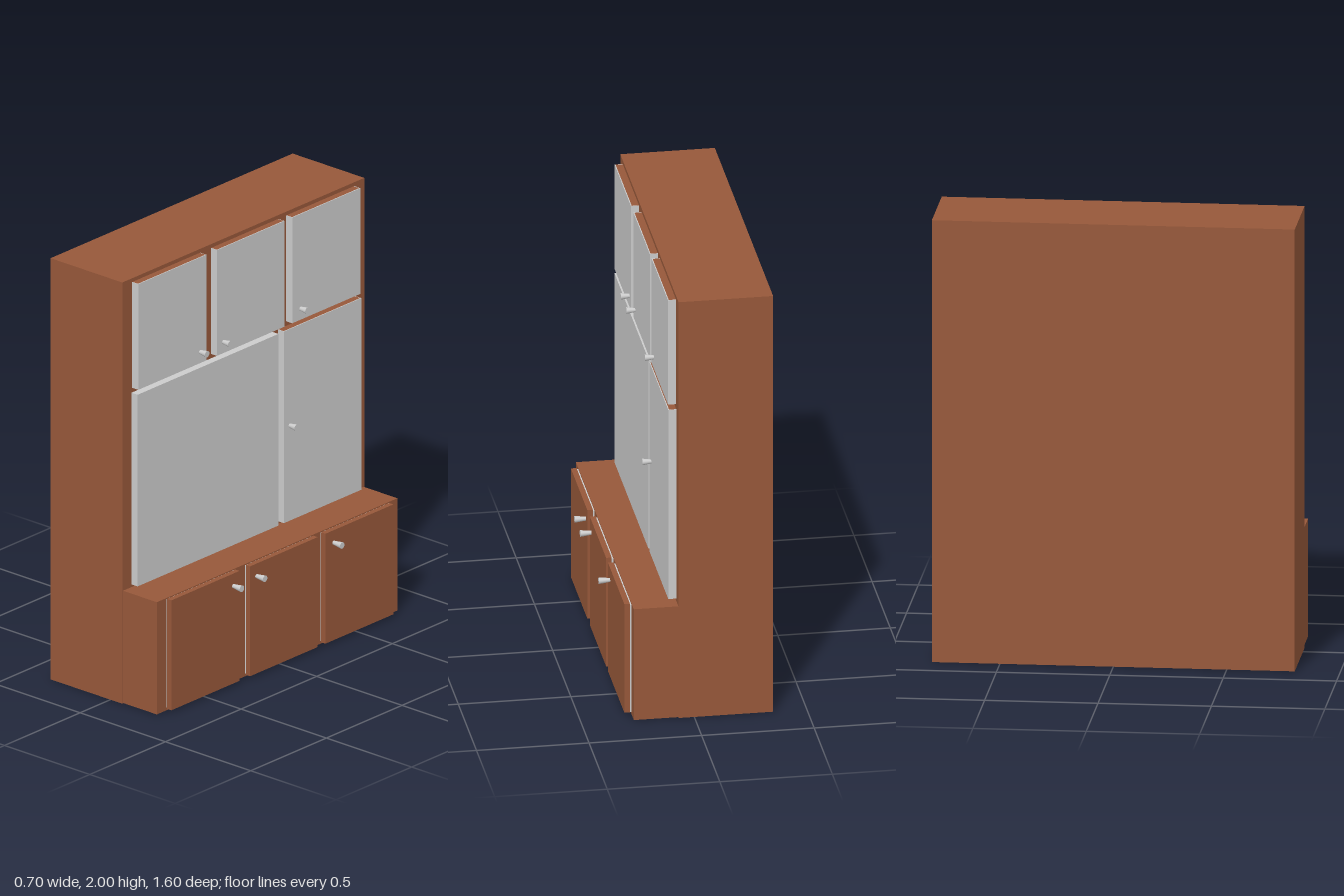
import * as THREE from 'three';

const wood = new THREE.MeshStandardMaterial({ color: 0x97583a });
const grey = new THREE.MeshStandardMaterial({ color: 0xcccccc });

// Box given by its limits on each axis
function box(name, mat, [x0, x1], [y0, y1], [z0, z1]) {
  const mesh = new THREE.Mesh(new THREE.BoxGeometry(x1 - x0, y1 - y0, z1 - z0), mat);
  mesh.name = name;
  mesh.position.set((x0 + x1) / 2, (y0 + y1) / 2, (z0 + z1) / 2);
  return mesh;
}

// Tapered knob pointing along +x, wider at the tip
function knob(x, y, z, length) {
  const mesh = new THREE.Mesh(new THREE.CylinderGeometry(0.015, 0.009, length, 20), grey);
  mesh.name = 'knob';
  mesh.rotation.z = -Math.PI / 2;
  mesh.position.set(x + length / 2, y, z);
  return mesh;
}

// Wooden door core clad in grey on its front and both sides
function cladDoor(name, y, [z0, z1]) {
  const door = new THREE.Group();
  door.name = name;
  const t = 0.003;
  door.add(
    box('doorCore', wood, [0.07, 0.102], y, [z0 + t, z1 - t]),
    box('doorFace', grey, [0.102, 0.106], y, [z0, z1]),
    box('doorSide', grey, [0.07, 0.102], y, [z0, z0 + t]),
    box('doorSide', grey, [0.07, 0.102], y, [z1 - t, z1])
  );
  return door;
}

export function createModel() {
  const model = new THREE.Group();
  model.name = 'cupboard';

  // Tall carcass and projecting base
  model.add(
    box('carcass', wood, [-0.35, 0.07], [0, 2], [-0.8, 0.8]),
    box('base', wood, [0.07, 0.268], [0.002, 0.535], [-0.795, 0.795])
  );

  // Three columns of upper and lower doors, each with a knob
  const columns = [
    { z: [0.285, 0.735], knobZ: 0.325 },
    { z: [-0.232, 0.215], knobZ: 0.172 },
    { z: [-0.733, -0.283], knobZ: -0.338 },
  ];
  for (const { z, knobZ } of columns) {
    model.add(
      cladDoor('upperDoor', [1.48, 1.982], z),
      knob(0.106, 1.533, knobZ, 0.04),
      box('lowerDoorBacking', grey, [0.268, 0.275], [0.015, 0.53], [z[0] - 0.004, z[1] - 0.004]),
      box('lowerDoor', wood, [0.275, 0.3], [0.012, 0.534], z),
      knob(0.3, 0.475, knobZ, 0.05)
    );
  }

  // Wide fixed panel and narrow door in the middle
  model.add(
    box('middlePanel', grey, [0.07, 0.106], [0.548, 1.458], [-0.192, 0.74]),
    cladDoor('middleDoor', [0.548, 1.458], [-0.74, -0.228]),
    knob(0.106, 1.0, -0.267, 0.04)
  );

  return model;
}
